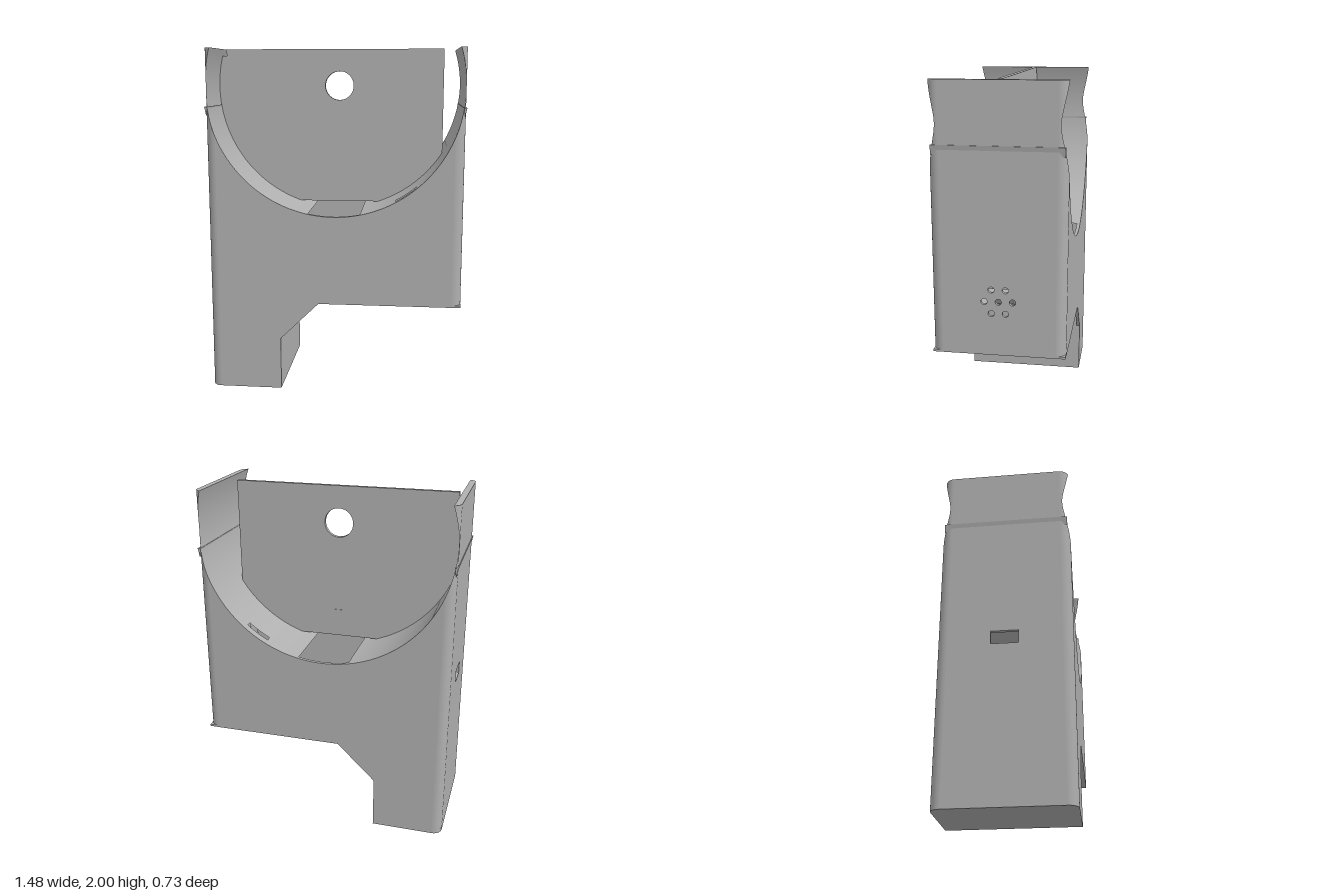
import * as THREE from 'three';

const R = 0.733, CY = 1.78;             // cradle radius and axis height
const W = 0.735, D = 0.365, C = 0.055;  // half width, half depth, corner radius
const T = 0.02;                         // wall thickness
const FLOOR = 0.53, TOP = 2;

export function createModel() {
  const model = new THREE.Group();
  const grey = new THREE.MeshStandardMaterial({ color: 0xb0b0b0, side: THREE.DoubleSide });
  grey.name = 'grey plastic';

  const add = (name, geometry, x = 0, y = 0, z = 0) => {
    const m = new THREE.Mesh(geometry, grey);
    m.name = name;
    m.position.set(x, y, z);
    model.add(m);
    return m;
  };
  const poly = (pts) => new THREE.Shape(pts.map(([x, y]) => new THREE.Vector2(x, y)));
  const rect = (x0, y0, x1, y1) => poly([[x0, y0], [x1, y0], [x1, y1], [x0, y1]]);
  const disc = (x, y, r) => new THREE.Path().absarc(x, y, r, 0, Math.PI * 2);
  const extrude = (shape, depth) =>
    new THREE.ExtrudeGeometry(shape, { depth, bevelEnabled: false, curveSegments: 48 });

  // Smooth sheet made from a grid of points, fn(u, v) with u, v in 0..1
  const sheet = (fn, nu, nv) => {
    const pos = [], idx = [];
    for (let j = 0; j <= nv; j++) for (let i = 0; i <= nu; i++) pos.push(...fn(i / nu, j / nv));
    for (let j = 0; j < nv; j++) for (let i = 0; i < nu; i++) {
      const a = j * (nu + 1) + i, b = a + nu + 1;
      idx.push(a, a + 1, b, a + 1, b + 1, b);
    }
    const g = new THREE.BufferGeometry();
    g.setAttribute('position', new THREE.Float32BufferAttribute(pos, 3));
    g.setIndex(idx);
    g.computeVertexNormals();
    return g;
  };

  // Front and back panels with the round cut-out
  const xf = W - C, cut = Math.acos(xf / R);
  const panel = poly([[-xf, 0], [-0.315, 0], [-0.315, 0.31], [-0.09, FLOOR], [xf, FLOOR]]);
  panel.absarc(0, CY, R, -cut, -Math.PI + cut, true);
  add('frontPanel', extrude(panel, T), 0, 0, D - T);
  add('backPanel', extrude(panel, T), 0, 0, -D);

  // Rounded outer corners, trimmed by the cradle cylinder
  const yCut = CY - Math.sqrt(R * R - xf * xf);
  const startAngle = (y) => {
    if (y <= yCut) return 0;
    const xc = Math.sqrt(R * R - (y - CY) ** 2);
    return Math.asin(THREE.MathUtils.clamp((xc - xf) / C, 0, 1));
  };
  const cornerPoint = (u, y) => {
    const a = startAngle(y), t = a + (Math.PI / 2 - a) * u;
    return [xf + C * Math.sin(t), y, D - C + C * Math.cos(t)];
  };
  for (const sx of [1, -1]) {
    const y0 = sx > 0 ? FLOOR : 0;
    for (const sz of [1, -1]) {
      const lower = add('lowerCorner', sheet((u, v) => cornerPoint(u, y0 + v * (yCut - y0)), 8, 1));
      const upper = add('upperCorner', sheet((u, v) => cornerPoint(u, yCut + v * (TOP - yCut)), 8, 24));
      lower.scale.set(sx, 1, sz);
      upper.scale.set(sx, 1, sz);
    }

    // Flat side wall: sound holes on the left, a slot on the right
    const wall = rect(-(D - C), y0, D - C, 1.4);
    if (sx > 0) {
      wall.holes.push(disc(0, 0.835, 0.017));
      for (let i = 0; i < 6; i++) {
        const a = i * Math.PI / 3;
        wall.holes.push(disc(0.077 * Math.cos(a), 0.835 + 0.077 * Math.sin(a), 0.017));
      }
    } else wall.holes.push(rect(-0.075, 0.885, 0.075, 0.96));
    const wg = extrude(wall, T);
    wg.rotateY(Math.PI / 2);
    add('sideWall', wg, sx > 0 ? W - T : -W);
    const ug = new THREE.PlaneGeometry(2 * (D - C), TOP - 1.4);
    ug.rotateY(sx * Math.PI / 2);
    add('upperSideWall', ug, sx * W, (TOP + 1.4) / 2);

    // Top rim of the side wall
    const rim = [];
    for (let i = 0; i <= 8; i++) { const p = cornerPoint(i / 8, TOP); rim.push([sx * p[0], p[2]]); }
    const rimAll = rim.concat(rim.slice().reverse().map(([x, z]) => [x, -z]));
    const rg = new THREE.ShapeGeometry(poly(rimAll));
    rg.rotateX(Math.PI / 2);
    add('topRim', rg, 0, TOP);

    // Small flared ledge across the side
    const ledge = extrude(poly([[sx * 0.73, 1.62], [sx * 0.74, 1.67], [sx * 0.722, 1.67]]), 0.7);
    add('sideLedge', ledge, 0, 0, -0.35);
  }

  // Round cradle, built in patches around its openings
  const zEdge = (x) => {
    const k = Math.max(0, Math.abs(x) - xf) / C;
    return D - C + C * Math.sqrt(Math.max(0, 1 - k * k));
  };
  const phi = (x) => Math.asin(x / R);
  const patch = (p0, p1, z0 = -D, z1 = D) => add('cradle', sheet((u, v) => {
    const p = p0 + (p1 - p0) * u, x = R * Math.sin(p), e = zEdge(x);
    return [x, CY - R * Math.cos(p), THREE.MathUtils.clamp(z0 + (z1 - z0) * v, -e, e)];
  }, Math.max(4, Math.ceil((p1 - p0) * 26)), 1));
  const end = Math.PI / 2 + Math.asin((TOP - CY) / R);
  patch(-end, phi(-0.15));
  patch(phi(-0.15), phi(0.15), 0.355, D);
  patch(phi(-0.15), phi(0.15), -D, -0.355);
  patch(phi(0.15), phi(0.35));
  for (const [a, b] of [[-D, -0.317], [-0.283, 0.283], [0.317, D]]) patch(phi(0.35), phi(0.47), a, b);
  patch(phi(0.47), end);

  // Upright divider with a round hole
  const lowA = Math.asin(0.235 / R);
  const divider = poly([[0.62, TOP], [-0.685, TOP], [-0.685, 1.96]]);
  divider.absarc(0, CY, R, Math.PI - Math.asin(0.18 / R), 1.5 * Math.PI - lowA, false);
  divider.absarc(0, CY, R, 1.5 * Math.PI + lowA, 2 * Math.PI - Math.acos(0.62 / R), false);
  divider.holes.push(disc(0, 1.785, 0.085));
  add('divider', extrude(divider, 0.025), 0, 0, -0.0125);
  add('dividerStud', new THREE.BoxGeometry(0.05, 0.045, 0.031), 0, 1.23, 0);

  // Body floor with its opening
  const floor = rect(-0.315, -D + 0.001, W, D - 0.001);
  floor.holes.push(rect(-0.2, -0.2, 0.28, 0.2));
  const fg = extrude(floor, 0.012);
  fg.rotateX(Math.PI / 2);
  add('bodyFloor', fg, 0, FLOOR + 0.012);

  // Leg: inner wall and base with rounded outer corners
  add('legInnerWall', new THREE.BoxGeometry(T, FLOOR, 2 * D - 0.002), -0.315 - T / 2, FLOOR / 2, 0);
  const base = new THREE.Shape();
  base.moveTo(-0.315, -D);
  base.lineTo(-0.315, D);
  base.lineTo(-xf, D);
  base.absarc(-xf, D - C, C, Math.PI / 2, Math.PI, false);
  base.absarc(-xf, -D + C, C, Math.PI, 1.5 * Math.PI, false);
  const bg = extrude(base, T);
  bg.rotateX(Math.PI / 2);
  add('legBase', bg, 0, T);

  // Sloped lip under the floor beside the leg
  const lip = poly([[-0.2, FLOOR], [-0.315, FLOOR], [-0.315, 0.45], [-0.28, 0.45]]);
  add('lip', extrude(lip, 0.47), 0, 0, -0.235);

  return model;
}
